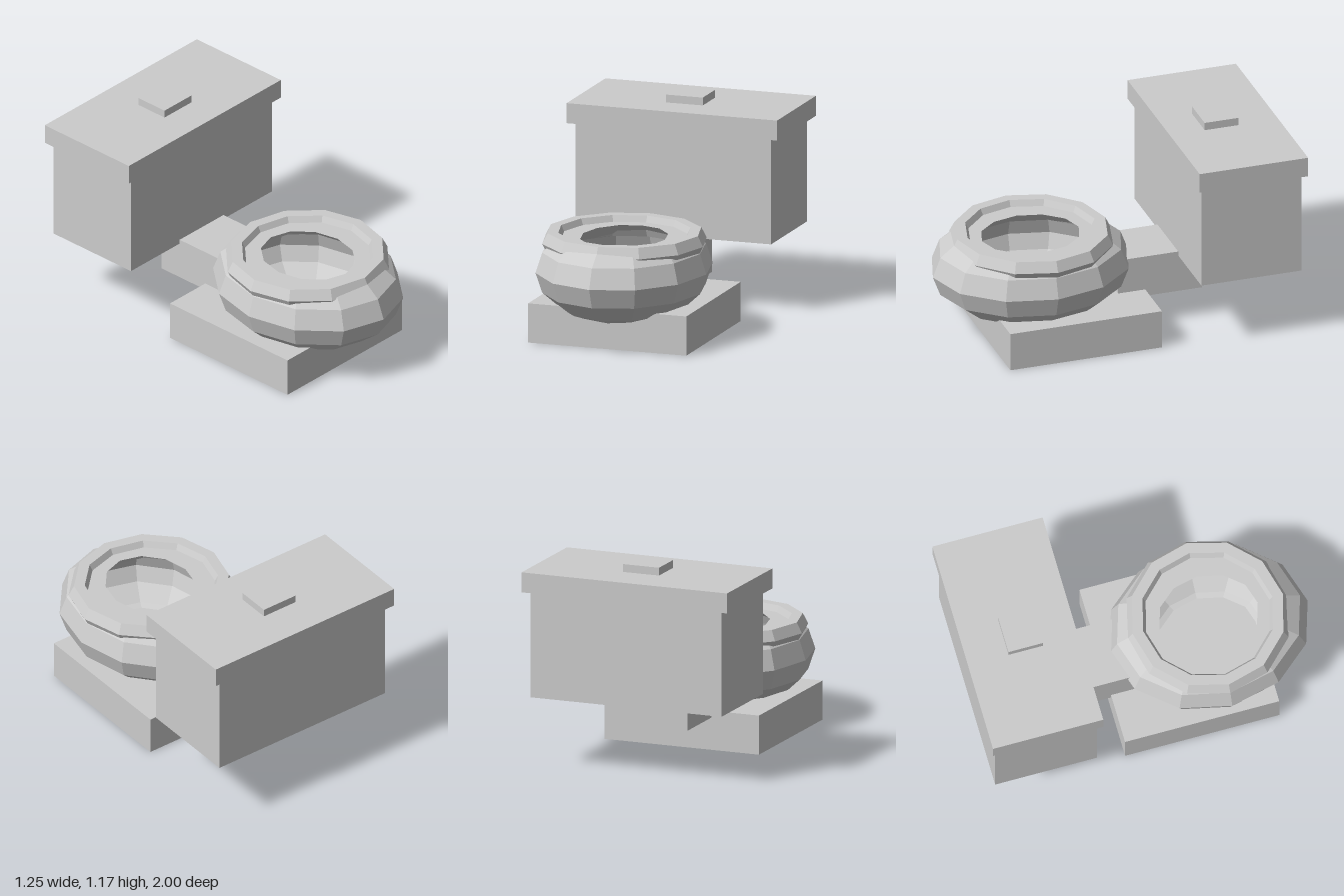
import * as THREE from 'three';

export function createModel() {
  const group = new THREE.Group();
  const ceramic = new THREE.MeshStandardMaterial({ color: 0xcccccc, flatShading: true });
  ceramic.name = 'grey ceramic';

  function add(name, geometry) {
    const mesh = new THREE.Mesh(geometry, ceramic);
    mesh.name = name;
    group.add(mesh);
    return mesh;
  }

  // Box given by half width, height range and depth range
  function box(name, halfX, y0, y1, z0, z1) {
    const mesh = add(name, new THREE.BoxGeometry(halfX * 2, y1 - y0, z1 - z0));
    mesh.position.set(0, (y0 + y1) / 2, (z0 + z1) / 2);
  }

  box('base', 0.47, 0, 0.225, -0.19, 0.705);
  box('neck', 0.18, 0.185, 0.43, -0.525, -0.03);
  box('tank', 0.58, 0.405, 1.01, -0.975, -0.385);
  box('tankLid', 0.625, 1.01, 1.125, -1, -0.36);
  box('flushButton', 0.11, 1.125, 1.17, -0.765, -0.565);

  // Bowl: faceted hollow ellipsoid, cut flat at the rim
  const rx = 0.488, ry = 0.3, rz = 0.575, rimY = 0.18, inner = 0.79;
  const ring = (step, scale) => {
    const a = step * Math.PI / 8;
    return new THREE.Vector2(Math.cos(a) * rx * scale, Math.sin(a) * ry * scale);
  };
  const cut = (low, high) => low.clone().lerp(high, (rimY - low.y) / (high.y - low.y));
  const profile = [];
  for (let i = -4; i <= 1; i++) profile.push(ring(i, 1));
  profile.push(cut(ring(1, 1), ring(2, 1)), cut(ring(2, inner), ring(3, inner)));
  for (let i = 2; i >= -4; i--) profile.push(ring(i, inner));
  const bowl = add('bowl', new THREE.LatheGeometry(profile, 12));
  bowl.scale.z = rz / rx;
  bowl.position.set(0, 0.405, 0.427);

  // Seat: twelve-sided ring with a hexagonal section
  const section = [];
  for (let i = 0; i <= 6; i++) {
    const a = i * Math.PI / 3;
    section.push(new THREE.Vector2(0.406 + 0.061 * Math.cos(a), 0.069 * Math.sin(a)));
  }
  add('seat', new THREE.LatheGeometry(section, 12)).position.set(0, 0.56, 0.422);

  return group;
}
